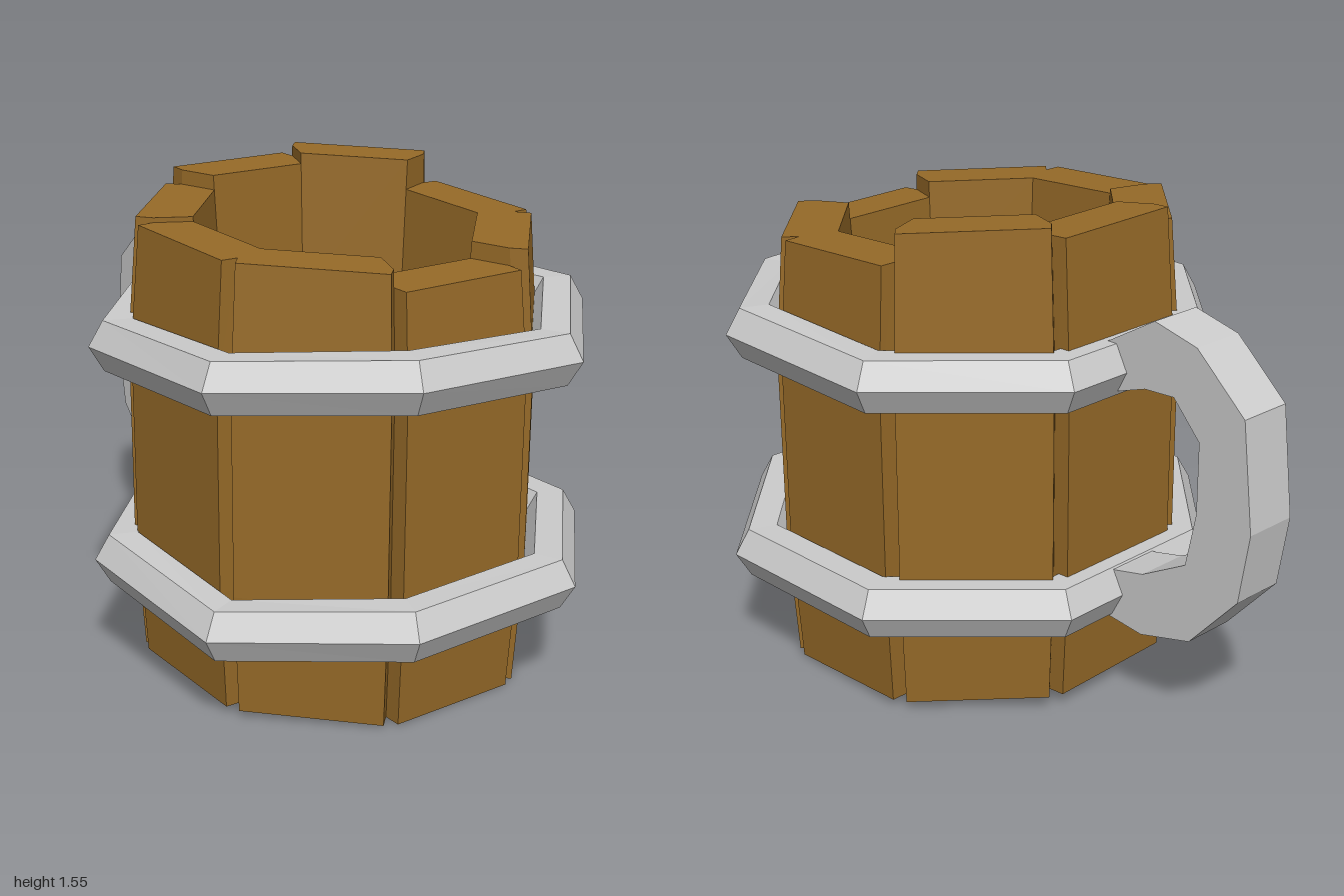
import * as THREE from 'three';

const wood = new THREE.MeshStandardMaterial({ color: 0x966a28, flatShading: true });
const metal = new THREE.MeshStandardMaterial({ color: 0xcccccc, flatShading: true });
const V = (x, y, z) => new THREE.Vector3(x, y, z);
const polar = (r, a, y) => V(r * Math.cos(a), y, -r * Math.sin(a));
const STEP = Math.PI / 4;

// Skin a list of equal-sized cross-sections; cap the ends unless the loop is closed
function loft(rings, closed = false) {
  const pos = [];
  const tri = (...pts) => pts.forEach((p) => pos.push(p.x, p.y, p.z));
  const n = rings[0].length;
  const spans = closed ? rings.length : rings.length - 1;
  for (let i = 0; i < spans; i++) {
    const lo = rings[i], hi = rings[(i + 1) % rings.length];
    for (let j = 0; j < n; j++) {
      const k = (j + 1) % n;
      tri(lo[j], lo[k], hi[k]);
      tri(lo[j], hi[k], hi[j]);
    }
  }
  if (!closed) {
    const a = rings[0], b = rings[rings.length - 1];
    for (let j = 1; j < n - 1; j++) {
      tri(a[0], a[j + 1], a[j]);
      tri(b[0], b[j], b[j + 1]);
    }
  }
  const g = new THREE.BufferGeometry();
  g.setAttribute('position', new THREE.Float32BufferAttribute(pos, 3));
  g.computeVertexNormals();
  return g;
}

function addMesh(parent, name, geometry, material) {
  const mesh = new THREE.Mesh(geometry, material);
  mesh.name = name;
  parent.add(mesh);
  return mesh;
}

// Lean of the wooden body: heights drop slightly towards +x
const lean = (geometry) => {
  geometry.applyMatrix4(new THREE.Matrix4().set(1, 0, 0, 0, -0.04, 1, 0, 0, 0, 0, 1, 0, 0, 0, 0, 1));
  geometry.computeVertexNormals();
  return geometry;
};

// One bulging stave with chamfered outer edges, leaving V grooves between neighbours
function staveGeometry(angle, top) {
  const levels = [[0.026, 0.637], [0.42, 0.662], [1.07, 0.662], [top, 0.63]];
  const half = STEP / 2, inset = 0.036;
  return lean(loft(levels.map(([y, r]) => {
    const inner = 0.37 + 0.06 * y, groove = r - 0.05;
    return [
      polar(inner, angle - half, y), polar(groove, angle - half, y),
      polar(r, angle - half + inset, y), polar(r, angle + half - inset, y),
      polar(groove, angle + half, y), polar(inner, angle + half, y),
    ];
  })));
}

// Eight-cornered hoop with a hexagonal section; each corner has its own height
function hoopGeometry(heights, radius) {
  return loft(heights.map((y, i) => Array.from({ length: 6 }, (_, j) => {
    const f = j * Math.PI / 3;
    return polar(radius - 0.093 * Math.cos(f), i * STEP, y + 0.093 * Math.sin(f));
  })), true);
}

export function createModel() {
  const model = new THREE.Group();
  model.name = 'tankard';

  // Staves, counter-clockwise from the back of the +x side
  const body = new THREE.Group();
  body.name = 'body';
  body.position.set(0.14, 0, -0.015);
  model.add(body);
  [1.44, 1.44, 1.537, 1.502, 1.455, 1.44, 1.44, 1.387].forEach((top, i) =>
    addMesh(body, `stave${i + 1}`, staveGeometry((i + 0.5) * STEP, top), wood));

  // Floor of the drinking space
  const floor = new THREE.CylinderGeometry(0.384, 0.384, 0.174, 8).translate(0, 0.113, 0);
  addMesh(body, 'floor', lean(floor), wood);

  // Metal hoops
  const upper = addMesh(model, 'upperHoop',
    hoopGeometry([1.11, 1.13, 1.11, 1.11, 1.11, 1.09, 1.11, 1.14], 0.713), metal);
  const lower = addMesh(model, 'lowerHoop',
    hoopGeometry([0.39, 0.385, 0.385, 0.385, 0.385, 0.385, 0.345, 0.385], 0.722), metal);
  upper.position.set(0.17, 0, 0);
  lower.position.set(0.175, 0, 0);

  // Handle: outer and inner edge points (distance from axis, height)
  const profile = [
    [0.64, 1.19, 0.64, 1.03], [0.82, 1.295, 0.79, 1.08], [0.98, 1.255, 0.9, 1.085],
    [1.16, 1.09, 1.0, 0.975], [1.2, 0.75, 1.0, 0.75], [1.165, 0.525, 0.965, 0.575],
    [0.99, 0.33, 0.8, 0.485], [0.8, 0.28, 0.69, 0.46], [0.62, 0.3, 0.6, 0.45],
  ];
  const w = 0.09;
  const handle = addMesh(model, 'handle', loft(profile.map(([ou, oy, iu, iy]) =>
    [V(ou, oy, -w), V(ou, oy, w), V(iu, iy, w), V(iu, iy, -w)])), metal);
  handle.position.set(0.14, 0, 0);
  handle.rotation.y = Math.PI - 0.405;

  return model;
}
